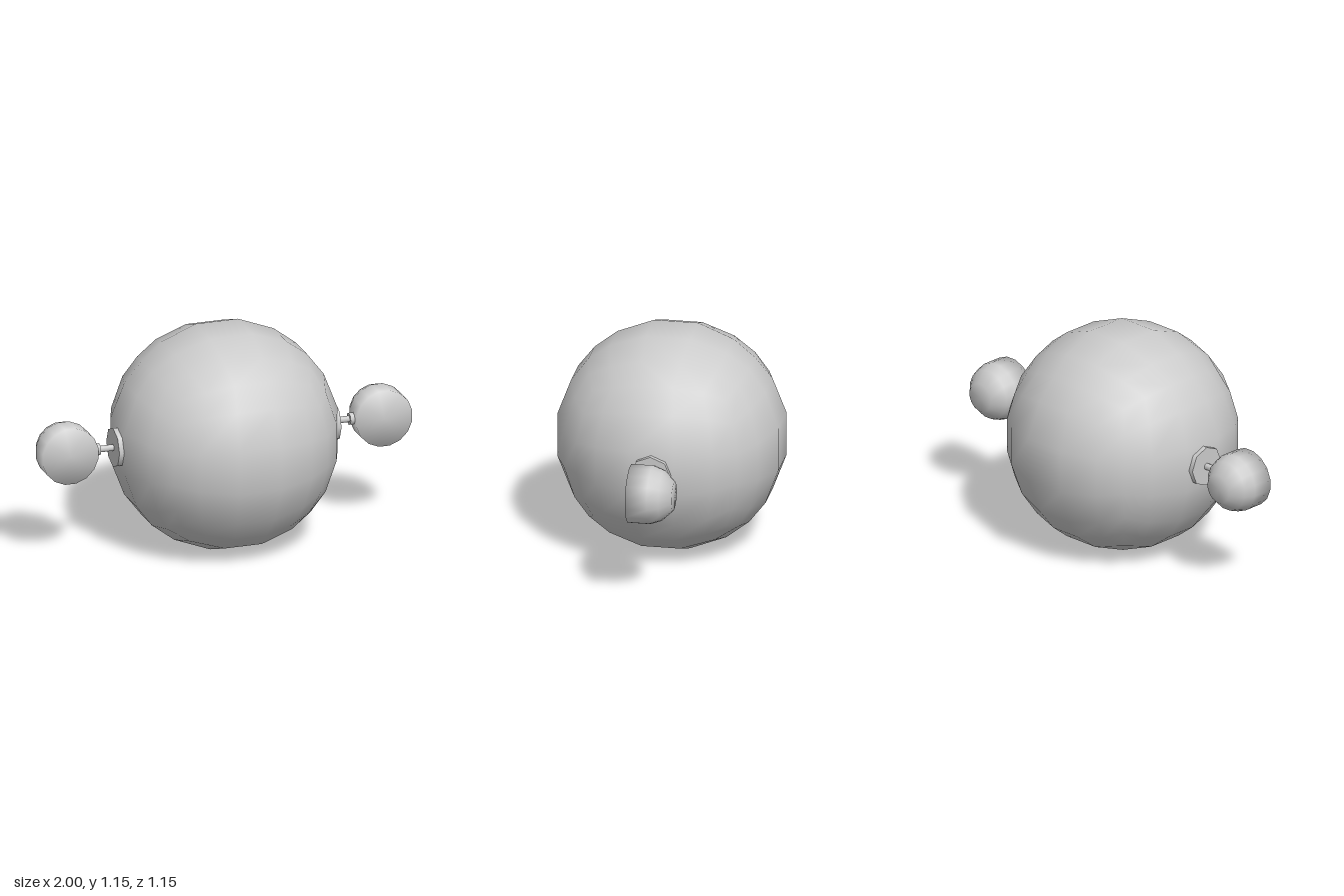
import * as THREE from 'three';

const material = new THREE.MeshStandardMaterial({ color: 0xcccccc });
const CENTRE_Y = 0.575;

function addMesh(parent, name, geometry) {
  const mesh = new THREE.Mesh(geometry, material);
  mesh.name = name;
  parent.add(mesh);
  return mesh;
}

// Cube grid pushed out onto a sphere, with smooth normals
function cubeSphere(radius, segments) {
  const geometry = new THREE.BoxGeometry(2, 2, 2, segments, segments, segments);
  const position = geometry.attributes.position;
  const normal = geometry.attributes.normal;
  const v = new THREE.Vector3();
  for (let i = 0; i < position.count; i++) {
    v.fromBufferAttribute(position, i).normalize();
    normal.setXYZ(i, v.x, v.y, v.z);
    v.multiplyScalar(radius);
    position.setXYZ(i, v.x, v.y, v.z);
  }
  return geometry;
}

// Cylinder lying along x between x0 and x1
function rodX(radius, x0, x1, sides) {
  return new THREE.CylinderGeometry(radius, radius, x1 - x0, sides)
    .rotateZ(Math.PI / 2)
    .translate((x0 + x1) / 2, 0, 0);
}

// Flat-fronted pod with a rounded back, turned about z
function podGeometry() {
  const profile = [
    [0, -0.057], [0.153, -0.057], [0.153, 0.055], [0.132, 0.112], [0.076, 0.171], [0, 0.171],
  ].map(([r, y]) => new THREE.Vector2(r, y));
  return new THREE.LatheGeometry(profile, 16, Math.PI / 16)
    .rotateX(-Math.PI / 2)
    .translate(0.848, 0, 0);
}

// Side assembly: mounting plate, arm, collar and pod
function createSide(name) {
  const side = new THREE.Group();
  side.name = name;
  addMesh(side, 'mountingPlate', rodX(0.105, 0.56, 0.6, 8));
  addMesh(side, 'arm', rodX(0.018, 0.59, 0.69, 8));
  addMesh(side, 'collar', rodX(0.033, 0.675, 0.705, 8));
  addMesh(side, 'pod', podGeometry());
  return side;
}

export function createModel() {
  const model = new THREE.Group();
  model.name = 'sphereWithPods';

  const body = new THREE.Group();
  body.name = 'body';
  body.position.y = CENTRE_Y;
  model.add(body);

  addMesh(body, 'mainSphere', cubeSphere(0.5975, 5));

  body.add(createSide('leftSide'));
  const right = createSide('rightSide');
  right.rotation.y = Math.PI;
  // Turned about y for the right, with its pod flipped so the flat face stays in front
  right.getObjectByName('pod').rotation.x = Math.PI;
  body.add(right);

  return model;
}
